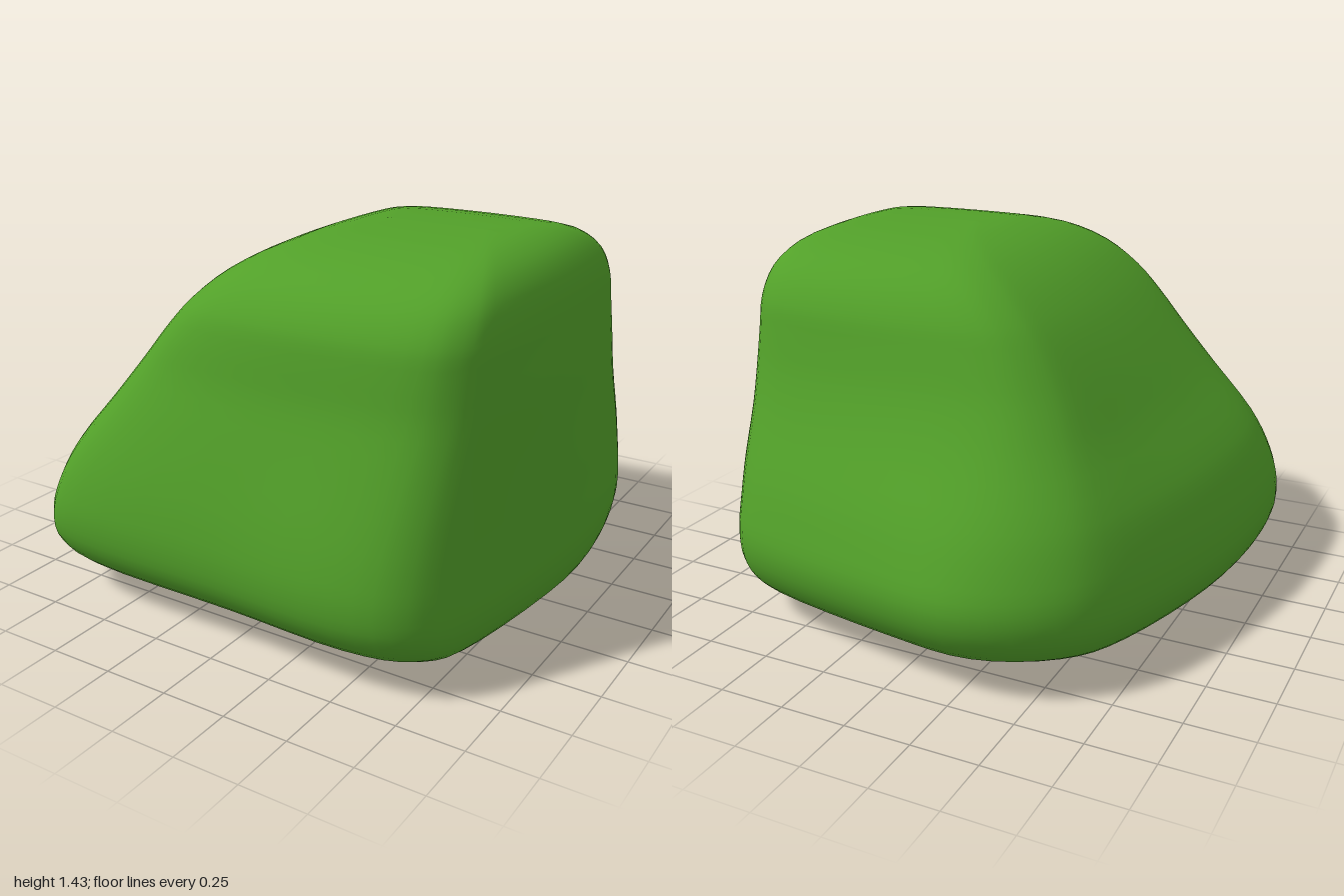
import * as THREE from 'three';

// Plan outlines, scaled to -1..1: skewed foot and squarer crown, front -> left -> back -> right
const FOOT = [
  [0, 0.985], [0.53, 1], [0.8, 0.92], [0.91, 0.68],
  [1, -0.05], [0.965, -0.5], [0.85, -0.74], [0.64, -0.87],
  [0.05, -0.98], [-0.32, -1], [-0.62, -0.85], [-0.79, -0.58],
  [-0.95, 0], [-1, 0.55], [-0.92, 0.85], [-0.7, 0.97],
];
const CROWN = [
  [0, 1], [0.62, 0.96], [0.87, 0.84], [0.96, 0.6],
  [1, 0], [0.96, -0.6], [0.87, -0.84], [0.62, -0.96],
  [0, -1], [-0.62, -0.96], [-0.87, -0.84], [-0.96, -0.6],
  [-1, 0], [-0.96, 0.6], [-0.87, 0.84], [-0.62, 0.96],
];

// Levels: height, x min, x max, z back, z front, blend from foot to crown
const LEVELS = [
  [0.003, -0.45, 0.55, 0, 0, 0],
  [0.02, -0.68, 0.75, -0.4, 0.4, 0],
  [0.07, -0.83, 0.87, -0.72, 0.72, 0],
  [0.14, -0.905, 0.91, -0.9, 0.9, 0],
  [0.24, -0.94, 0.93, -0.98, 0.98, 0],
  [0.35, -0.93, 0.93, -1, 1, 0],
  [0.47, -0.89, 0.925, -0.96, 0.99, 0.07],
  [0.6, -0.82, 0.92, -0.895, 0.965, 0.2],
  [0.8, -0.66, 0.91, -0.765, 0.915, 0.5],
  [0.96, -0.535, 0.905, -0.68, 0.875, 0.75],
  [1.1, -0.42, 0.895, -0.63, 0.857, 0.92],
  [1.2, -0.325, 0.888, -0.595, 0.835, 1],
  [1.3, -0.205, 0.865, -0.52, 0.76, 1],
  [1.375, -0.07, 0.81, -0.39, 0.62, 1],
  [1.42, 0.08, 0.72, -0.15, 0.4, 1],
  [1.433, 0.2, 0.6, 0.12, 0.12, 1],
];

const AROUND = 64, UP = 45;

// Closed smooth ring for one level
function ring([y, x0, x1, z0, z1, t]) {
  const pts = FOOT.map(([fx, fz], i) => {
    const u = THREE.MathUtils.lerp(fx, CROWN[i][0], t);
    const v = THREE.MathUtils.lerp(fz, CROWN[i][1], t);
    return new THREE.Vector3(
      (x0 + x1) / 2 + u * (x1 - x0) / 2, y,
      (z0 + z1) / 2 + v * (z1 - z0) / 2);
  });
  const curve = new THREE.CatmullRomCurve3(pts, true, 'catmullrom', 0.5);
  return Array.from({ length: AROUND }, (_, i) => curve.getPoint(i / AROUND));
}

// Skin the rings with smooth columns
function bodyGeometry() {
  const rings = LEVELS.map(ring);
  const pos = [], index = [];
  for (let i = 0; i < AROUND; i++) {
    const column = new THREE.CatmullRomCurve3(rings.map(r => r[i]), false, 'centripetal');
    for (let j = 0; j <= UP; j++) pos.push(...column.getPoint(j / UP).toArray());
  }
  const at = (i, j) => (i % AROUND) * (UP + 1) + j;
  for (let i = 0; i < AROUND; i++) {
    for (let j = 0; j < UP; j++) {
      const a = at(i, j), b = at(i + 1, j), c = at(i + 1, j + 1), d = at(i, j + 1);
      index.push(a, b, c, a, c, d);
    }
  }
  const geo = new THREE.BufferGeometry();
  geo.setAttribute('position', new THREE.Float32BufferAttribute(pos, 3));
  geo.setIndex(index);
  geo.computeVertexNormals();
  return geo;
}

export function createModel() {
  const group = new THREE.Group();
  const body = new THREE.Mesh(bodyGeometry(), new THREE.MeshStandardMaterial({ color: 0x52a029 }));
  body.name = 'roundedBoulder';
  group.add(body);
  return group;
}
